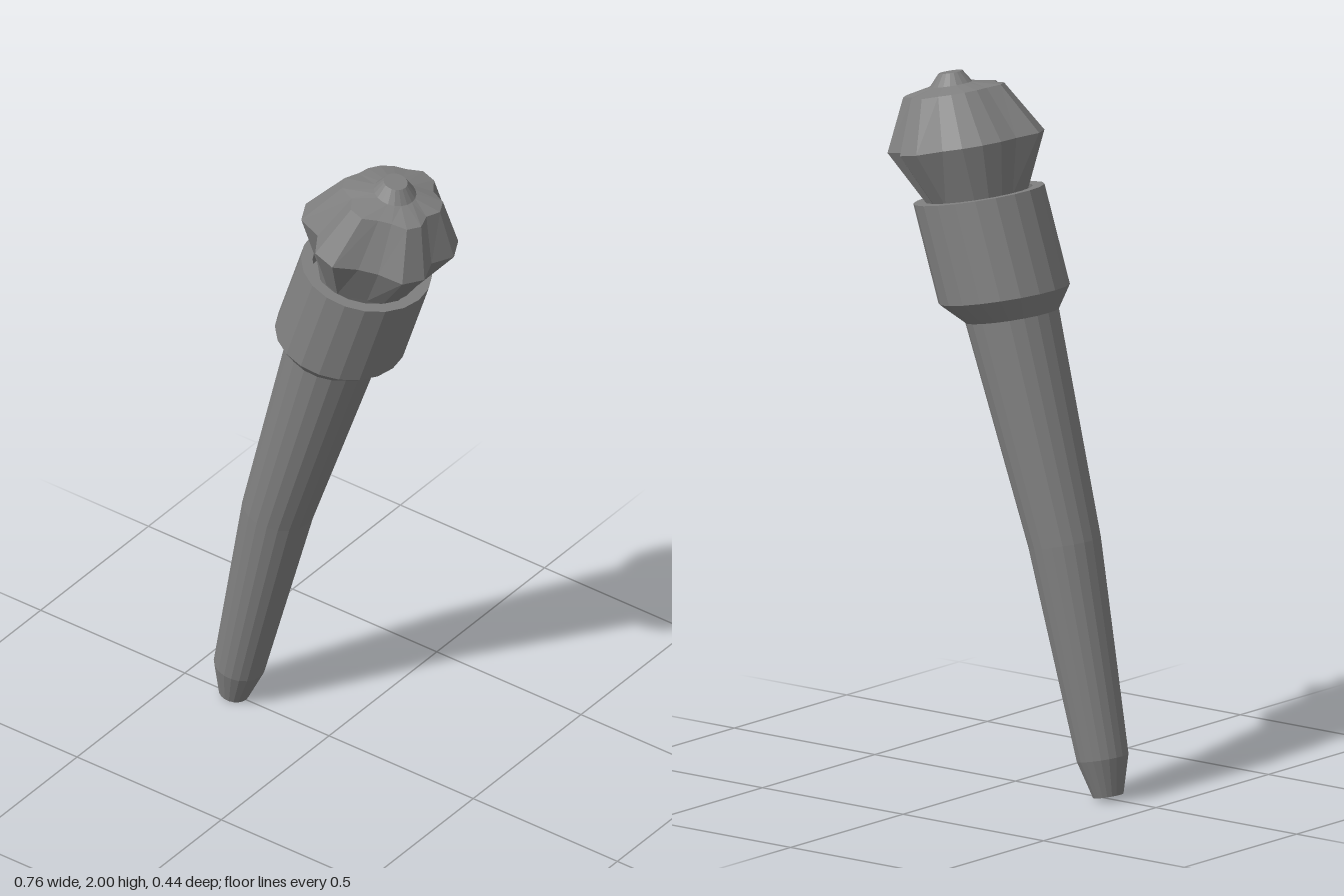
import * as THREE from 'three';

const SIDES = 20;
const TILT = 0.2; // lean of every cross-section towards +x
const material = new THREE.MeshStandardMaterial({ color: 0x808080, flatShading: true });

// Ridge corners of the head, counted in steps of 18 degrees from +x towards +z
const RIDGES = new Set([1, 2, 5, 6, 8, 9, 15, 16, 18, 19]);

// Joins tilted rings [x, y, radius, ridgeRadius] from bottom to top, with end caps
function loft(name, rings, capBottom, capTop) {
  const pos = [], index = [];
  for (const [x, y, r, ridge = r] of rings) {
    for (let j = 0; j < SIDES; j++) {
      const a = (j / SIDES) * Math.PI * 2;
      const rad = RIDGES.has(j) ? ridge : r;
      const u = rad * Math.cos(a);
      pos.push(x + u * Math.cos(TILT), y - u * Math.sin(TILT), rad * Math.sin(a));
    }
  }
  for (let i = 0; i < rings.length - 1; i++) {
    for (let j = 0; j < SIDES; j++) {
      const a = i * SIDES + j, b = i * SIDES + (j + 1) % SIDES;
      index.push(a, a + SIDES, b, b, a + SIDES, b + SIDES);
    }
  }
  const cap = (i, up) => {
    const centre = pos.length / 3;
    pos.push(rings[i][0], rings[i][1], 0);
    for (let j = 0; j < SIDES; j++) {
      const a = i * SIDES + j, b = i * SIDES + (j + 1) % SIDES;
      index.push(centre, up ? b : a, up ? a : b);
    }
  };
  if (capBottom) cap(0, false);
  if (capTop) cap(rings.length - 1, true);

  const geometry = new THREE.BufferGeometry();
  geometry.setAttribute('position', new THREE.Float32BufferAttribute(pos, 3));
  geometry.setIndex(index);
  geometry.computeVertexNormals();
  const mesh = new THREE.Mesh(geometry, material);
  mesh.name = name;
  return mesh;
}

export function createModel() {
  const group = new THREE.Group();
  group.name = 'torch';

  // Slightly bent, tapering shaft with a narrowed foot
  group.add(loft('handle', [
    [-0.33, 0.009, 0.043],
    [-0.31, 0.115, 0.073],
    [-0.175, 0.71, 0.102],
    [0.012, 1.33, 0.132],
  ], true, false));

  // Collar with a flared base, a rim and a sunken floor
  group.add(loft('cup', [
    [0.012, 1.33, 0.132],
    [0.04, 1.388, 0.185],
    [0.13, 1.66, 0.185],
    [0.13, 1.66, 0.152],
    [0.104, 1.58, 0.148],
  ], false, true));

  // Ridged head, smooth on its back right part
  group.add(loft('head', [
    [0.113, 1.58, 0.105, 0.115],
    [0.135, 1.65, 0.128, 0.142],
    [0.176, 1.803, 0.183, 0.221],
    [0.22, 1.943, 0.12, 0.142],
    [0.229, 1.959, 0.06],
  ], false, false));

  // Small knob on top
  group.add(loft('knob', [
    [0.229, 1.959, 0.06],
    [0.231, 1.993, 0.034],
  ], false, true));

  return group;
}
